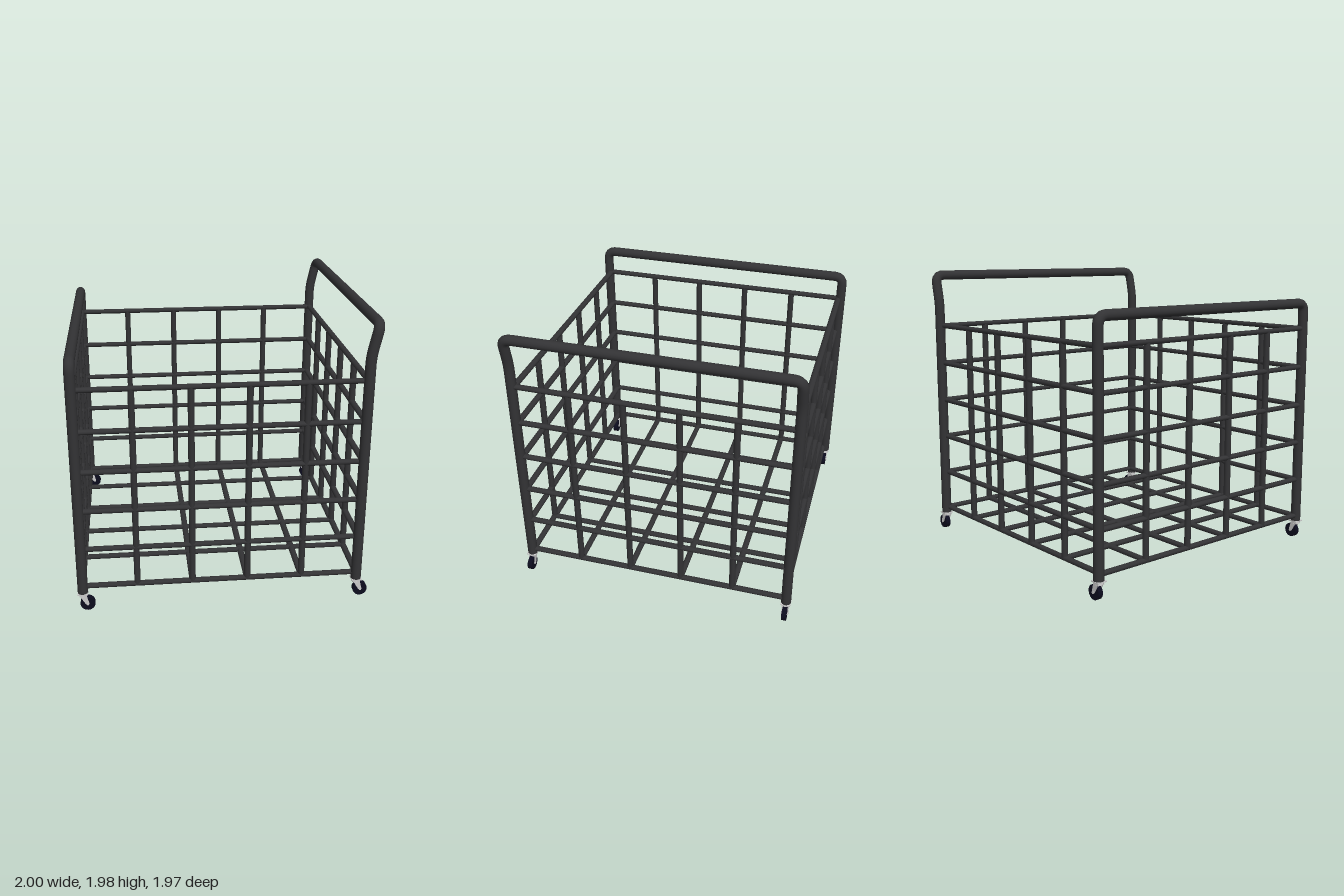
import * as THREE from 'three';

const steel = new THREE.MeshStandardMaterial({ color: 0x333335 });
const rubber = new THREE.MeshStandardMaterial({ color: 0x0c0c1e });
const zinc = new THREE.MeshStandardMaterial({ color: 0xcccccc });

const POST_R = 0.035, POST_Z = 0.952, POST_BASE = 0.13;
const LOW_X = -0.965, TALL_X = 0.915;
const FLOOR_Y = 0.17, TOP_Y = 1.575;
const xs = [-0.595, -0.22, 0.155, 0.53];
const zs = [-0.565, -0.19, 0.185, 0.56];
const ys = Array.from({ length: 6 }, (_, i) => FLOOR_Y + (i * (TOP_Y - FLOOR_Y)) / 5);

function add(parent, name, geometry, material, x = 0, y = 0, z = 0) {
  const mesh = new THREE.Mesh(geometry, material);
  mesh.name = name;
  mesh.position.set(x, y, z);
  parent.add(mesh);
  return mesh;
}

// Straight runs joined by rounded bends
function bentPath(points, bend) {
  const path = new THREE.CurvePath();
  let from = points[0];
  for (let i = 1; i < points.length - 1; i++) {
    const p = points[i];
    const a = p.clone().add(points[i - 1].clone().sub(p).setLength(bend));
    const b = p.clone().add(points[i + 1].clone().sub(p).setLength(bend));
    path.add(new THREE.LineCurve3(from, a));
    path.add(new THREE.QuadraticBezierCurve3(a, p, b));
    from = b;
  }
  path.add(new THREE.LineCurve3(from, points[points.length - 1]));
  return path;
}

// Hoop of tube: up one post, across the handle, down the other post
function hoop(parent, name, profile) {
  const up = profile.map(([x, y]) => new THREE.Vector3(x, y, POST_Z));
  const down = profile.map(([x, y]) => new THREE.Vector3(x, y, -POST_Z)).reverse();
  const path = bentPath([...up, ...down], 0.06);
  add(parent, name, new THREE.TubeGeometry(path, 260, POST_R, 14), steel);
}

// Grid bar along one axis, slightly flattened when horizontal
function bar(parent, name, axis, length, x, y, z) {
  const g = new THREE.CylinderGeometry(0.022, 0.022, length, 10);
  if (axis === 'x') g.rotateZ(Math.PI / 2);
  if (axis === 'z') g.rotateX(Math.PI / 2);
  if (axis !== 'y') g.scale(1, 0.8, 1);
  add(parent, name, g, steel, x, y, z);
}

// Swivel caster with its wheel trailing toward +x
function caster(x, z) {
  const g = new THREE.Group();
  g.name = 'caster';
  g.position.set(x, 0, z);
  add(g, 'mountPlate', new THREE.BoxGeometry(0.07, 0.008, 0.07), zinc, 0, POST_BASE - 0.002, 0);
  add(g, 'swivel', new THREE.CylinderGeometry(0.022, 0.026, 0.022, 14), zinc, 0, 0.116, 0);
  const wheel = new THREE.CylinderGeometry(0.05, 0.05, 0.034, 24).rotateX(Math.PI / 2);
  add(g, 'wheel', wheel, rubber, 0.03, 0.05, 0);
  const axle = new THREE.CylinderGeometry(0.009, 0.009, 0.052, 10).rotateX(Math.PI / 2);
  add(g, 'axle', axle, zinc, 0.03, 0.05, 0);
  // Tapered fork cheeks
  const cheek = new THREE.Shape();
  cheek.moveTo(-0.024, 0.118);
  cheek.lineTo(0.024, 0.118);
  cheek.lineTo(0.041, 0.05);
  cheek.lineTo(0.03, 0.04);
  cheek.lineTo(0.018, 0.048);
  for (const s of [-1, 1]) {
    const fork = new THREE.ExtrudeGeometry(cheek, { depth: 0.005, bevelEnabled: false });
    add(g, 'fork', fork, zinc, 0, 0, s * 0.0215 - 0.0025);
  }
  add(g, 'forkBridge', new THREE.BoxGeometry(0.048, 0.008, 0.048), zinc, 0, 0.11, 0);
  return g;
}

export function createModel() {
  const cart = new THREE.Group();
  cart.name = 'cageCart';

  // End hoops: a straight low one and a tall one whose handle leans outward
  hoop(cart, 'lowHandleFrame', [[LOW_X, POST_BASE], [LOW_X, 1.755]]);
  hoop(cart, 'tallHandleFrame', [[TALL_X, POST_BASE], [TALL_X, 1.74], [0.96, 1.948]]);

  const midX = (LOW_X + TALL_X) / 2, spanX = TALL_X - LOW_X;
  const midY = (FLOOR_Y + TOP_Y) / 2, spanY = TOP_Y - FLOOR_Y;

  // Front and back grids
  for (const z of [0.935, -0.935]) {
    const panel = new THREE.Group();
    panel.name = z > 0 ? 'frontGrid' : 'backGrid';
    for (const y of ys) bar(panel, 'rail', 'x', spanX, midX, y, z);
    for (const x of xs) bar(panel, 'upright', 'y', spanY, x, midY, z);
    cart.add(panel);
  }

  // Side grids between the posts of each hoop
  for (const x of [LOW_X, TALL_X]) {
    const panel = new THREE.Group();
    panel.name = x < 0 ? 'rightGrid' : 'leftGrid';
    for (const y of ys) bar(panel, 'rail', 'z', POST_Z * 2, x, y, 0);
    for (const z of zs) bar(panel, 'upright', 'y', spanY, x, midY, z);
    cart.add(panel);
  }

  // Floor grid
  const floor = new THREE.Group();
  floor.name = 'floorGrid';
  for (const x of xs) bar(floor, 'floorBar', 'z', 1.87, x, FLOOR_Y, 0);
  for (const z of zs) bar(floor, 'floorBar', 'x', spanX, midX, FLOOR_Y, z);
  cart.add(floor);

  // Casters under the four posts
  for (const x of [LOW_X, TALL_X]) {
    for (const z of [POST_Z, -POST_Z]) cart.add(caster(x, z));
  }
  return cart;
}
